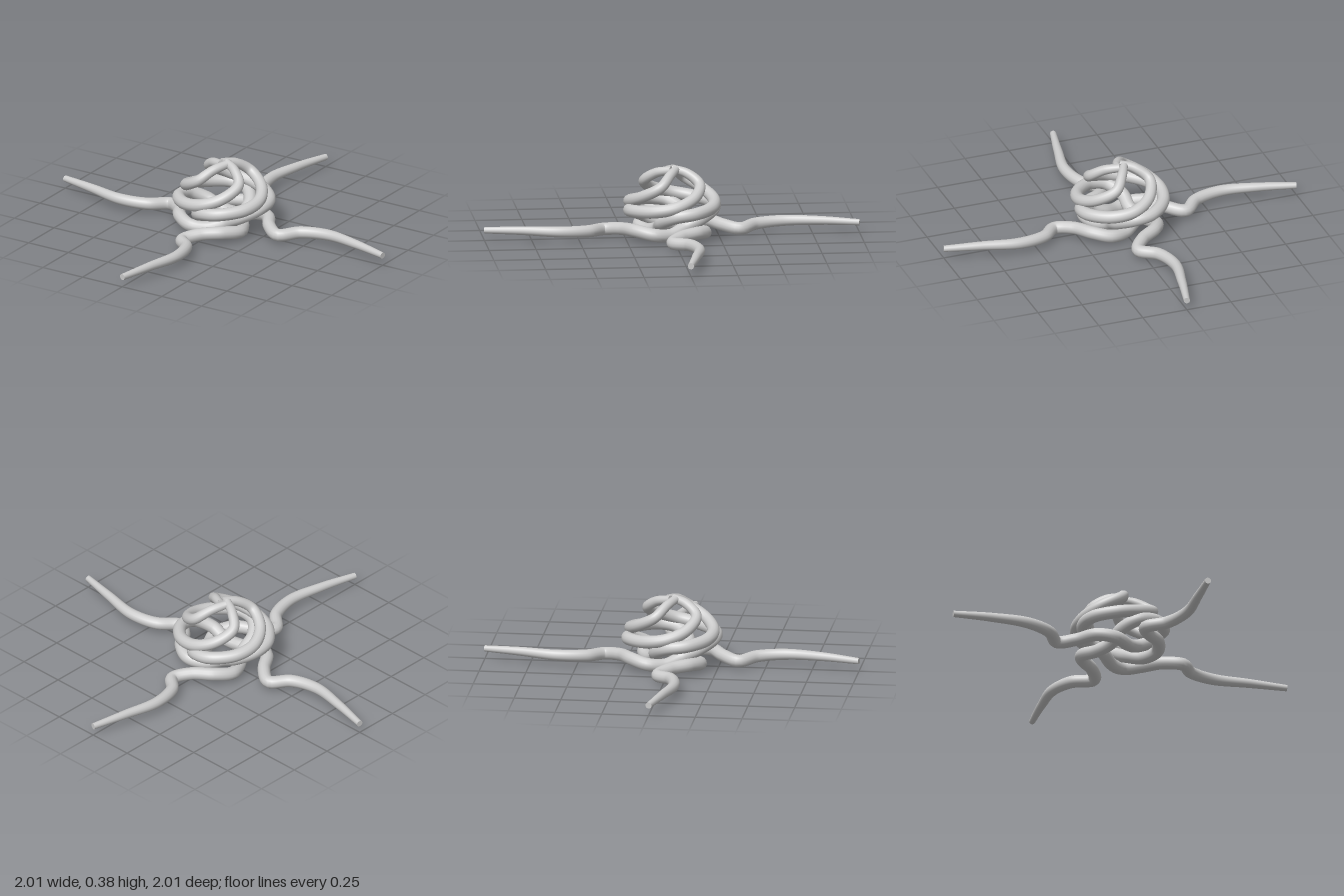
import * as THREE from 'three';

// One tentacle: from the outer tip, in along the ground, hooked under the knot,
// up around the ring and over to the crown. Each row is x, y, z, radius.
const PATH = [
  [0, 0.056, -1, 0.017],
  [-0.048, 0.06, -0.8, 0.024],
  [-0.085, 0.056, -0.6, 0.03],
  [-0.05, 0.05, -0.45, 0.033],
  [0.032, 0.043, -0.36, 0.034],
  [-0.025, 0.055, -0.27, 0.034],
  [-0.12, 0.06, -0.2, 0.035],
  [-0.165, 0.045, -0.11, 0.035],
  [-0.13, 0.036, -0.02, 0.035],
  [-0.08, 0.065, 0.06, 0.035],
  [-0.068, 0.11, 0.15, 0.035],
  [0, 0.15, 0.222, 0.035],
  [0.1, 0.165, 0.22, 0.034],
  [0.2, 0.178, 0.12, 0.034],
  [0.222, 0.2, 0, 0.033],
  [0.17, 0.24, -0.1, 0.031],
  [0.075, 0.295, -0.14, 0.029],
  [0.02, 0.345, -0.08, 0.026],
  [-0.02, 0.364, -0.005, 0.022],
];
const SEGMENTS = 160;
const SIDES = 14;

const material = new THREE.MeshStandardMaterial({ color: 0xcccccc });

// Tube of unit radius, then every ring is scaled to the local thickness
function taperedTube(curve, radiusAt) {
  const geometry = new THREE.TubeGeometry(curve, SEGMENTS, 1, SIDES, false);
  const pos = geometry.attributes.position;
  const v = new THREE.Vector3();
  for (let i = 0; i <= SEGMENTS; i++) {
    const centre = curve.getPointAt(i / SEGMENTS);
    const radius = radiusAt(curve.getUtoTmapping(i / SEGMENTS));
    for (let j = 0; j <= SIDES; j++) {
      const k = i * (SIDES + 1) + j;
      v.fromBufferAttribute(pos, k).sub(centre).multiplyScalar(radius).add(centre);
      pos.setXYZ(k, v.x, v.y, v.z);
    }
  }
  return geometry;
}

// Flat disc closing a tube end
function endCap(curve, u, radius, name) {
  const cap = new THREE.Mesh(new THREE.CircleGeometry(radius, SIDES), material);
  const outward = curve.getTangentAt(u).multiplyScalar(u === 0 ? -1 : 1);
  cap.quaternion.setFromUnitVectors(new THREE.Vector3(0, 0, 1), outward);
  cap.position.copy(curve.getPointAt(u));
  cap.name = name;
  return cap;
}

export function createModel() {
  const model = new THREE.Group();
  model.name = 'knottedTentacles';

  const curve = new THREE.CatmullRomCurve3(
    PATH.map(([x, y, z]) => new THREE.Vector3(x, y, z)), false, 'centripetal');
  const radiusAt = (t) => {
    const f = t * (PATH.length - 1);
    const i = Math.min(Math.floor(f), PATH.length - 2);
    return THREE.MathUtils.lerp(PATH[i][3], PATH[i + 1][3], f - i);
  };
  const tube = taperedTube(curve, radiusAt);

  // Four identical tentacles woven around the vertical axis
  ['back', 'left', 'front', 'right'].forEach((side, i) => {
    const tentacle = new THREE.Group();
    tentacle.name = `${side}Tentacle`;
    const body = new THREE.Mesh(tube, material);
    body.name = 'tentacleBody';
    tentacle.add(
      body,
      endCap(curve, 0, radiusAt(0), 'tentacleTip'),
      endCap(curve, 1, radiusAt(1), 'crownEnd'));
    tentacle.rotation.y = -i * Math.PI / 2;
    model.add(tentacle);
  });
  return model;
}
